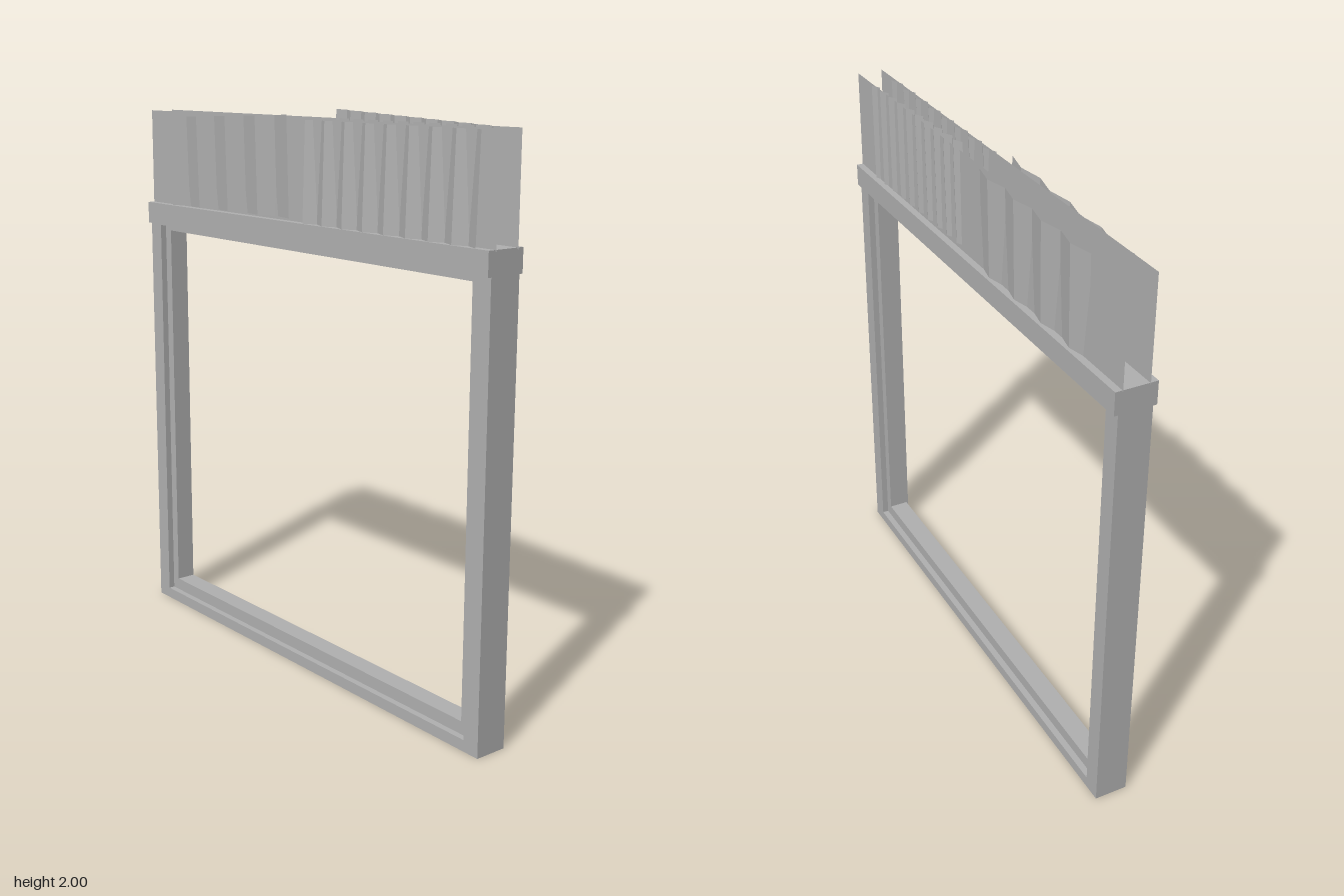
import * as THREE from 'three';

const metal = new THREE.MeshStandardMaterial({ color: 0xb0b0b0 });
metal.name = 'grey metal';
const sheetMetal = metal.clone();
sheetMetal.name = 'grey sheet';
sheetMetal.side = THREE.DoubleSide;
sheetMetal.flatShading = true;

function add(group, name, geometry, material, x = 0, y = 0, z = 0) {
  const mesh = new THREE.Mesh(geometry, material);
  mesh.name = name;
  mesh.position.set(x, y, z);
  group.add(mesh);
  return mesh;
}

// Rectangular ring in the z-y plane, extruded across x
function ring(half, y0, y1, holeHalf, h0, h1, width) {
  const rect = (P, w, a, b) => {
    const p = new P();
    p.moveTo(-w, a);
    p.lineTo(w, a);
    p.lineTo(w, b);
    p.lineTo(-w, b);
    p.closePath();
    return p;
  };
  const shape = rect(THREE.Shape, half, y0, y1);
  shape.holes.push(rect(THREE.Path, holeHalf, h0, h1));
  const geo = new THREE.ExtrudeGeometry(shape, { depth: width, bevelEnabled: false });
  return geo.translate(0, 0, -width / 2).rotateY(Math.PI / 2);
}

// Zigzag sheet running from z0 to z1, leaning from xBottom to xTop
function corrugated({ z0, z1, folds, depth, xBottom, xTop, bottom, top, shift = 0 }) {
  const geo = new THREE.PlaneGeometry(1, 1, folds, 1);
  const pos = geo.attributes.position;
  for (let i = 0; i < pos.count; i++) {
    const t = pos.getX(i) + 0.5;
    const upper = pos.getY(i) > 0;
    const fold = Math.round(t * folds) % 2 ? depth / 2 : -depth / 2;
    const ends = upper ? top : bottom;
    pos.setXYZ(i,
      (upper ? xTop : xBottom) + fold,
      THREE.MathUtils.lerp(ends[0], ends[1], t),
      THREE.MathUtils.lerp(z0, z1, t) + (upper ? shift * (1 - t) : 0));
  }
  geo.computeVertexNormals();
  return geo;
}

export function createModel() {
  const model = new THREE.Group();
  model.name = 'framedOpening';

  // Outer frame with a narrower stop running round the inside
  add(model, 'outerFrame', ring(0.93, 0, 1.54, 0.865, 0.04, 1.535, 0.118), metal, -0.002);
  add(model, 'innerStop', ring(0.866, 0.03, 1.54, 0.83, 0.085, 1.515, 0.072), metal, -0.002);

  // Header beam
  add(model, 'headerBeam', new THREE.BoxGeometry(0.145, 0.08, 1.86), metal, -0.002, 1.58, 0);

  // Flat upright panels along both sides of the beam
  for (const side of [-1, 1]) {
    const panel = new THREE.PlaneGeometry(1.866, 0.355).rotateY(Math.PI / 2);
    add(model, side < 0 ? 'rightFlatPanel' : 'leftFlatPanel', panel, sheetMetal, side * 0.046, 1.7925, 0);
  }

  // Corrugated sheets outside the flat panels
  const sheets = {
    leftFrontSheet: { z0: 0.07, z1: 0.82, folds: 20, depth: 0.016, xBottom: 0.047, xTop: 0.049,
      bottom: [1.64, 1.62], top: [2.0, 1.97], shift: 0.015 },
    leftBackSheet: { z0: -0.05, z1: -0.735, folds: 8, depth: 0.018, xBottom: 0.05, xTop: 0.057,
      bottom: [1.62, 1.62], top: [1.96, 1.96] },
    rightFrontSheet: { z0: 0.04, z1: 0.87, folds: 16, depth: 0.022, xBottom: -0.058, xTop: -0.047,
      bottom: [1.62, 1.62], top: [1.965, 1.965] },
    rightBackSheet: { z0: -0.045, z1: -0.775, folds: 8, depth: 0.018, xBottom: -0.053, xTop: -0.062,
      bottom: [1.63, 1.62], top: [1.98, 1.95] },
  };
  for (const [name, spec] of Object.entries(sheets)) {
    add(model, name, corrugated(spec), sheetMetal);
  }
  return model;
}
